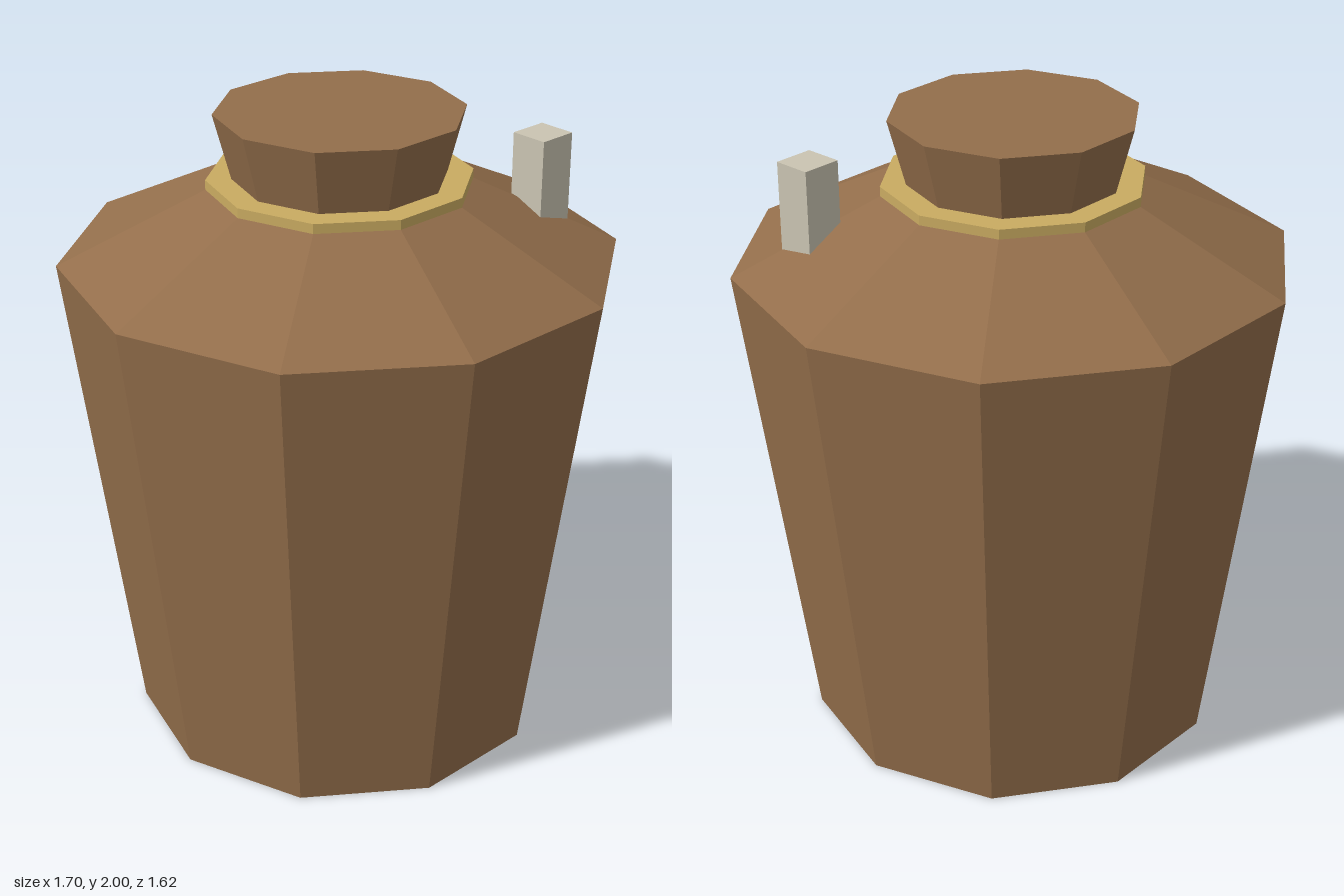
import * as THREE from 'three';

const SIDES = 10;

export function createModel() {
  const group = new THREE.Group();
  const material = (name, color) => {
    const m = new THREE.MeshStandardMaterial({ color, flatShading: true });
    m.name = name;
    return m;
  };
  const brown = material('brown', 0x936e4b);
  const gold = material('gold', 0xc9ab61);
  const paleGrey = material('paleGrey', 0xcac4b2);

  // Ten-sided tapered section with corners on the x axis
  const section = (name, y0, y1, r0, r1, mat, open = false) => {
    const geometry = new THREE.CylinderGeometry(r1, r0, y1 - y0, SIDES, 1, open, Math.PI / 2);
    const mesh = new THREE.Mesh(geometry, mat);
    mesh.name = name;
    mesh.position.y = (y0 + y1) / 2;
    group.add(mesh);
  };

  section('body', 0, 1.55, 0.65, 0.85, brown);
  section('shoulder', 1.55, 1.785, 0.85, 0.37, brown, true);
  section('collarRing', 1.77, 1.8, 0.4, 0.4, gold);
  section('neck', 1.79, 2, 0.32, 0.375, brown);

  // Small upright tag sunk into the shoulder
  const tag = new THREE.Mesh(new THREE.BoxGeometry(0.125, 0.3, 0.12), paleGrey);
  tag.name = 'tag';
  tag.position.set(0.497, 1.75, 0.35);
  group.add(tag);

  return group;
}
